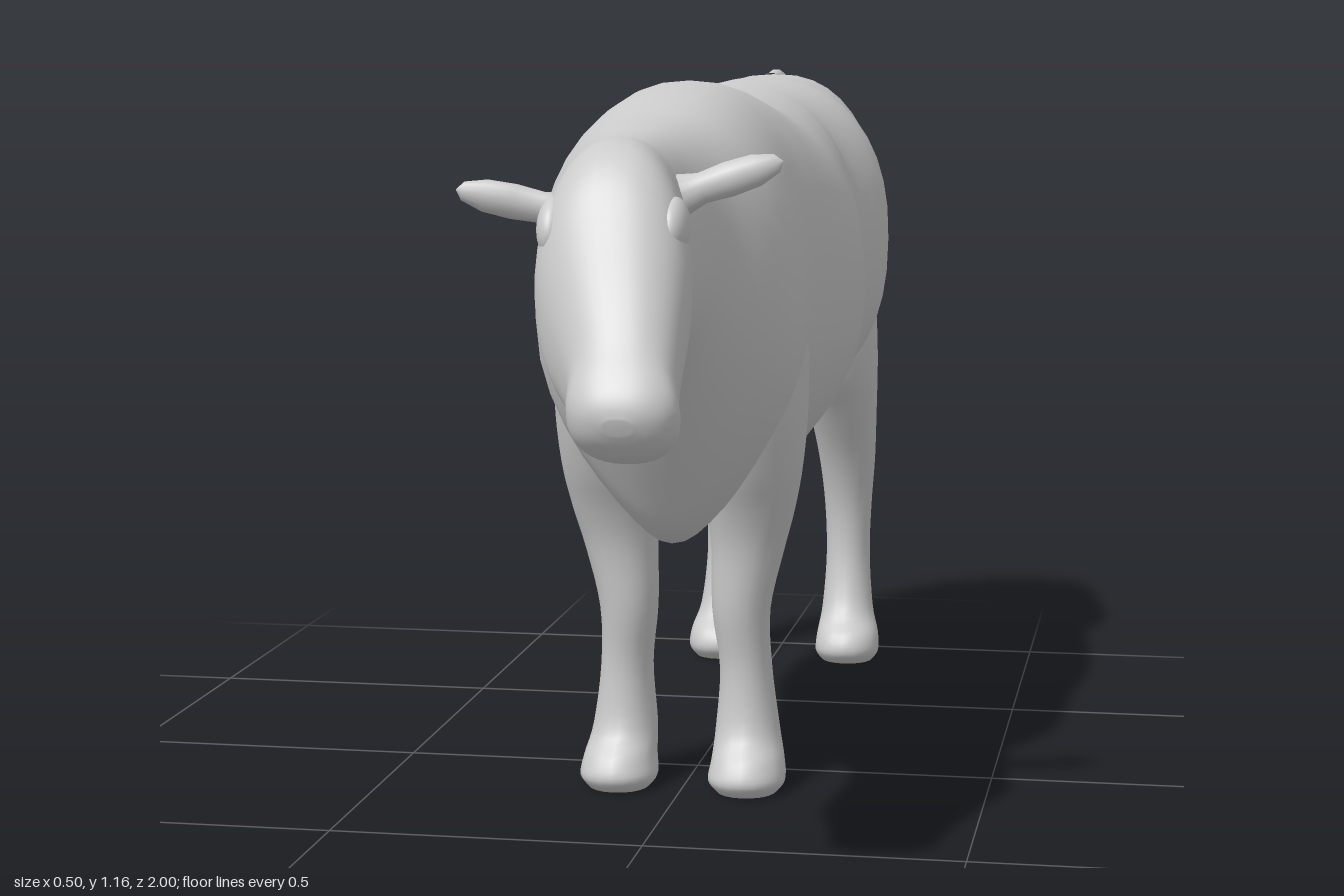
import * as THREE from 'three';

const grey = new THREE.MeshStandardMaterial({ color: 0xcccccc });

// Smooth interpolation through rows of numbers
function refine(rows, steps) {
  const out = [];
  const row = i => rows[Math.min(rows.length - 1, Math.max(0, i))];
  for (let i = 0; i < rows.length - 1; i++) {
    for (let s = 0; s < steps; s++) {
      const t = s / steps, a = row(i - 1), b = row(i), c = row(i + 1), d = row(i + 2);
      out.push(b.map((_, k) => 0.5 * (2 * b[k] + (c[k] - a[k]) * t
        + (2 * a[k] - 5 * b[k] + 4 * c[k] - d[k]) * t * t
        + (3 * b[k] - a[k] - 3 * c[k] + d[k]) * t * t * t)));
    }
  }
  out.push(rows[rows.length - 1]);
  return out;
}

// Closed skin over rings; each row is [z1, y1, z2, y2, centreX, halfWidth, taper],
// where (z1, y1) and (z2, y2) are the two ends of the ring in the side plane
// and taper narrows (or, if negative, widens) the lower half
function loft(name, rows, sides = 28, power = 2.3) {
  const rings = refine(rows, 4), pos = [], idx = [], last = rings.length - 1;
  const curve = v => Math.sign(v) * Math.pow(Math.abs(v), 2 / power);
  for (const [z1, y1, z2, y2, cx, w, taper = 0] of rings) {
    for (let j = 0; j < sides; j++) {
      const a = j / sides * Math.PI * 2, c = curve(Math.cos(a)), low = Math.min(c, 0);
      const s = curve(Math.sin(a)) * (1 - taper * low * low);
      pos.push(cx + w * s, (y1 + y2 + (y1 - y2) * c) / 2, (z1 + z2 + (z1 - z2) * c) / 2);
    }
  }
  for (const [z1, y1, z2, y2, cx] of [rings[0], rings[last]]) pos.push(cx, (y1 + y2) / 2, (z1 + z2) / 2);
  const start = rings.length * sides, end = start + 1;
  for (let j = 0; j < sides; j++) {
    const k = (j + 1) % sides;
    for (let i = 0; i < last; i++) {
      const a = i * sides + j, b = i * sides + k;
      idx.push(a, a + sides, b, b, a + sides, b + sides);
    }
    idx.push(start, j, k, end, last * sides + k, last * sides + j);
  }
  const g = new THREE.BufferGeometry();
  g.setAttribute('position', new THREE.Float32BufferAttribute(pos, 3));
  g.setIndex(idx);
  g.computeVertexNormals();
  const mesh = new THREE.Mesh(g, grey);
  mesh.name = name;
  return mesh;
}

function ellipsoid(name, p, s, tilt = 0) {
  const mesh = new THREE.Mesh(new THREE.SphereGeometry(1, 24, 16), grey);
  mesh.name = name;
  mesh.position.set(...p);
  mesh.scale.set(...s);
  mesh.rotation.x = tilt;
  return mesh;
}

// Flattened leaf-like ear from base to tip
function ear(name, base, tip) {
  const a = new THREE.Vector3(...base), dir = new THREE.Vector3(...tip).sub(a);
  const profile = [[0, 0], [0.034, 0], [0.023, 0.25], [0.026, 0.5], [0.024, 0.75], [0.014, 0.94], [0, 1]]
    .map(([r, h]) => new THREE.Vector2(r, h * dir.length()));
  const mesh = new THREE.Mesh(new THREE.LatheGeometry(profile, 14), grey);
  mesh.name = name;
  mesh.position.copy(a);
  mesh.quaternion.setFromUnitVectors(new THREE.Vector3(0, 1, 0), dir.normalize());
  mesh.scale.z = 0.8;
  return mesh;
}

export function createModel() {
  const model = new THREE.Group();

  // Rump, barrel, neck and head in one skin, from tail to nose
  const torso = [
    [-0.985, 0.98, -0.982, 0.74, 0, 0.07, 0], [-0.98, 1.06, -0.976, 0.66, 0, 0.13, -0.3],
    [-0.96, 1.115, -0.955, 0.61, 0, 0.17, -0.5], [-0.92, 1.145, -0.91, 0.595, 0, 0.19, -0.5],
    [-0.85, 1.15, -0.84, 0.585, 0, 0.207, -0.4], [-0.75, 1.148, -0.72, 0.575, 0, 0.225, -0.2],
    [-0.65, 1.147, -0.62, 0.545, 0, 0.247, 0], [-0.50, 1.14, -0.49, 0.49, 0, 0.213, 0.2],
    [-0.42, 1.135, -0.41, 0.447, 0, 0.228, 0.4], [-0.34, 1.13, -0.34, 0.428, 0, 0.24, 0.45],
    [-0.25, 1.127, -0.25, 0.448, 0, 0.25, 0.35], [-0.15, 1.13, -0.15, 0.466, 0, 0.248, 0.2],
    [0, 1.155, 0, 0.47, 0, 0.225, 0.2], [0.10, 1.162, 0.10, 0.455, 0, 0.21, 0.4],
    [0.22, 1.152, 0.22, 0.425, 0, 0.212, 0.55], [0.32, 1.135, 0.29, 0.455, 0, 0.207, 0.5],
    [0.40, 1.12, 0.35, 0.53, 0, 0.182, 0.35], [0.48, 1.11, 0.42, 0.63, 0, 0.138, 0.15],
  ];
  const head = [
    [0.56, 1.10, 0.49, 0.725, 0, 0.108, 0.05], [0.65, 1.095, 0.57, 0.755, 0.005, 0.097, 0],
    [0.72, 1.098, 0.66, 0.75, 0.01, 0.098, 0], [0.78, 1.082, 0.74, 0.735, 0.016, 0.108, 0],
    [0.825, 1.04, 0.79, 0.717, 0.02, 0.112, 0], [0.86, 0.98, 0.825, 0.70, 0.028, 0.104, 0],
    [0.90, 0.905, 0.86, 0.685, 0.042, 0.089, 0], [0.94, 0.84, 0.89, 0.668, 0.055, 0.078, 0],
    [0.972, 0.797, 0.925, 0.662, 0.062, 0.079, 0], [0.99, 0.77, 0.955, 0.672, 0.064, 0.066, 0],
    [0.998, 0.75, 0.978, 0.69, 0.064, 0.045, 0], [1.0, 0.732, 0.992, 0.71, 0.064, 0.02, 0],
  ];
  model.add(loft('bodyAndHead', [...torso, ...head], 40));

  // Legs run from inside the body down to the hoof
  const foreLeg = [
    [0.22, 0.92, 0.06, 0.92, 0.1, 0.06], [0.29, 0.80, 0.01, 0.80, 0.112, 0.088],
    [0.29, 0.66, 0.01, 0.66, 0.116, 0.09], [0.25, 0.55, 0.04, 0.55, 0.116, 0.083],
    [0.21, 0.47, 0.06, 0.47, 0.112, 0.072], [0.187, 0.40, 0.062, 0.40, 0.105, 0.06],
    [0.175, 0.30, 0.065, 0.30, 0.094, 0.048], [0.16, 0.20, 0.055, 0.20, 0.1, 0.043],
    [0.17, 0.10, 0.045, 0.10, 0.103, 0.053], [0.205, 0.055, 0.055, 0.05, 0.107, 0.06],
    [0.218, 0.022, 0.07, 0.018, 0.107, 0.064], [0.20, 0, 0.085, 0, 0.107, 0.05],
  ];
  const hindLeg = [
    [-0.80, 0.95, -0.93, 0.95, 0.1, 0.06], [-0.74, 0.82, -0.965, 0.82, 0.108, 0.085],
    [-0.71, 0.68, -0.982, 0.68, 0.115, 0.088], [-0.735, 0.58, -0.975, 0.60, 0.125, 0.08],
    [-0.79, 0.50, -0.975, 0.50, 0.135, 0.066], [-0.85, 0.40, -0.985, 0.40, 0.14, 0.055],
    [-0.885, 0.30, -0.995, 0.30, 0.14, 0.046], [-0.89, 0.20, -0.995, 0.20, 0.14, 0.043],
    [-0.865, 0.10, -0.98, 0.10, 0.142, 0.05], [-0.82, 0.055, -0.965, 0.05, 0.146, 0.06],
    [-0.81, 0.022, -0.955, 0.018, 0.146, 0.062], [-0.83, 0, -0.945, 0, 0.146, 0.05],
  ];
  for (const [side, sign] of [['left', 1], ['right', -1]]) {
    // The lower part of a leg may be set inward
    const place = (rows, inset) => rows.map(([z1, y1, z2, y2, x, w]) =>
      [z1, y1, z2, y2, sign * (x - inset * THREE.MathUtils.smoothstep(0.75 - y1, 0, 0.35)), w]);
    model.add(loft(side + 'ForeLeg', place(foreLeg, 0), 20, 2.1));
    model.add(loft(side + 'HindLeg', place(hindLeg, sign < 0 ? 0.04 : 0), 20, 2.1));
    // Brow over the eye
    model.add(ellipsoid(side + 'Brow', [0.018 + sign * 0.085, 0.975, 0.79], [0.024, 0.04, 0.05], 0.7));
  }

  // Ears, tipped with the turned head
  model.add(ear('leftEar', [0.08, 1.01, 0.65], [0.235, 1.062, 0.63]));
  model.add(ear('rightEar', [-0.07, 0.985, 0.66], [-0.235, 1.02, 0.69]));

  // Tail lying down the middle of the rump
  const tailPath = new THREE.CatmullRomCurve3([[1.138, -0.82], [1.14, -0.91], [1.1, -0.965],
    [0.98, -0.984], [0.8, -0.984], [0.67, -0.978]].map(([y, z]) => new THREE.Vector3(0, y, z)));
  const tail = new THREE.Mesh(new THREE.TubeGeometry(tailPath, 40, 0.016, 10), grey);
  tail.name = 'tail';
  model.add(tail, ellipsoid('tailTip', [0, 0.67, -0.978], [0.016, 0.03, 0.016]));

  return model;
}
